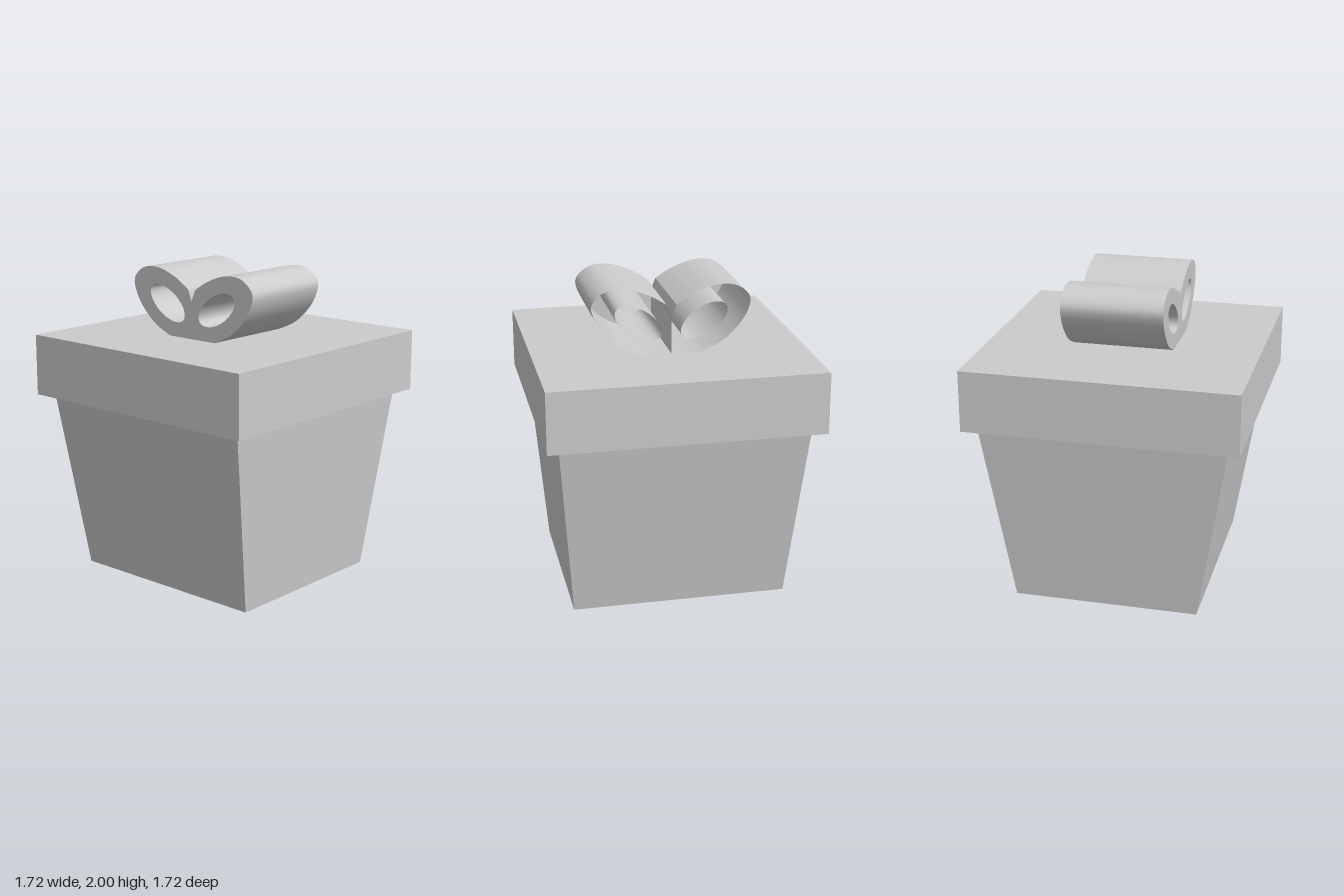
import * as THREE from 'three';
import { toCreasedNormals } from 'three/addons/utils/BufferGeometryUtils.js';

const grey = new THREE.MeshStandardMaterial({ color: 0xcccccc });
const greyThin = new THREE.MeshStandardMaterial({ color: 0xcccccc, side: THREE.DoubleSide });

// Removes the triangles whose three corners all pass the test, leaving an open shell.
function openShell(geometry, test) {
  const g = geometry.index ? geometry.toNonIndexed() : geometry;
  const p = g.attributes.position;
  const kept = [];
  for (let i = 0; i < p.count; i += 3) {
    const tri = [0, 1, 2].map((k) => new THREE.Vector3().fromBufferAttribute(p, i + k));
    if (!tri.every(test)) kept.push(...tri);
  }
  const shell = new THREE.BufferGeometry().setFromPoints(kept);
  return toCreasedNormals(shell, 0.6);
}

function add(group, name, geometry, material) {
  const mesh = new THREE.Mesh(geometry, material);
  mesh.name = name;
  group.add(mesh);
  return mesh;
}

// Four tapering walls, open underneath and closed above by the lid.
function boxWalls() {
  const height = 1.175, top = 0.78, bottomX = 0.685, bottomZ = 0.59;
  const g = new THREE.BoxGeometry(2, height, 2).translate(0, height / 2, 0);
  const p = g.attributes.position;
  for (let i = 0; i < p.count; i++) {
    const low = p.getY(i) < 0.01;
    p.setX(i, p.getX(i) * (low ? bottomX : top));
    p.setZ(i, p.getZ(i) * (low ? bottomZ : top));
  }
  const isEnd = (y) => (v) => Math.abs(v.y - y) < 0.001;
  return openShell(openShell(g, isEnd(0)), isEnd(height));
}

// One bow loop: a leaf-shaped tube with an oval hole, capped at the front only.
function bowLoop(side) {
  const depth = 0.64, base = 1.57;
  const curve = new THREE.SplineCurve([
    [0.19, base], [0.33, 1.64], [0.445, 1.755], [0.497, 1.865], [0.485, 1.93],
    [0.42, 1.983], [0.34, 2], [0.24, 1.988], [0.125, 1.943], [0.03, 1.885],
  ].map(([x, y]) => new THREE.Vector2(x, y)));
  const outline = [new THREE.Vector2(0, base), ...curve.getPoints(36), new THREE.Vector2(0, 1.81)];
  const hole = new THREE.EllipseCurve(0.207, 1.777, 0.166, 0.086, 0, Math.PI * 2, false, 0.556)
    .getPoints(32).slice(0, -1);
  const mirror = (v) => new THREE.Vector2(v.x * side, Math.min(v.y, 2));
  const shape = new THREE.Shape(outline.map(mirror));
  shape.holes.push(new THREE.Path(hole.map(mirror)));
  const g = new THREE.ExtrudeGeometry(shape, { depth, bevelEnabled: false, steps: 1 });
  return openShell(g, (v) => v.z < 0.001).translate(0, 0, -depth / 2);
}

export function createModel() {
  const group = new THREE.Group();
  group.name = 'giftBox';

  add(group, 'boxWalls', boxWalls(), greyThin);

  // Lid overhanging the walls
  add(group, 'lid', new THREE.BoxGeometry(1.72, 0.392, 1.72), grey).position.y = 1.371;

  // Bow
  const bow = new THREE.Group();
  bow.name = 'bow';
  add(bow, 'leftBowLoop', bowLoop(1), greyThin);
  add(bow, 'rightBowLoop', bowLoop(-1), greyThin);
  group.add(bow);

  return group;
}
